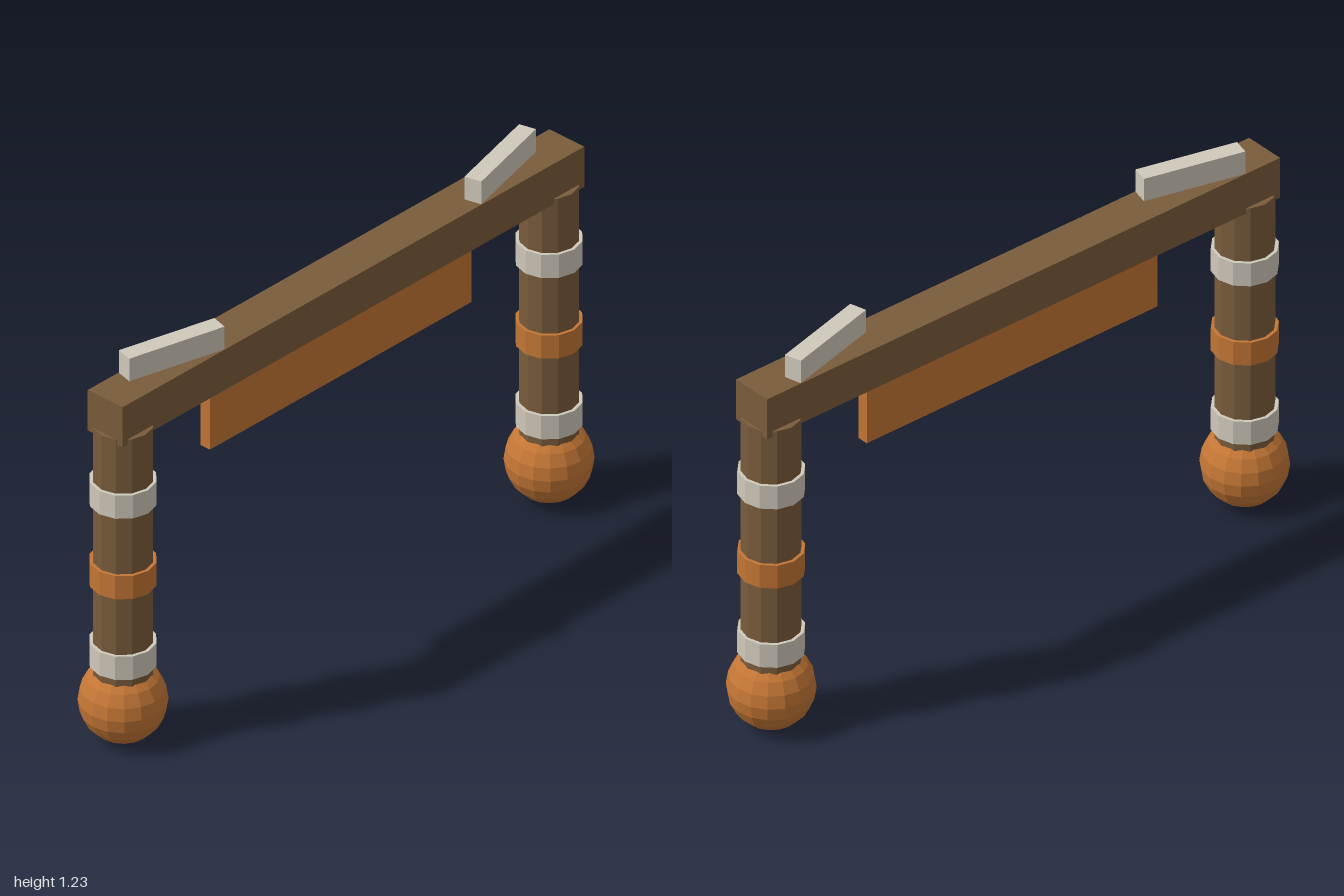
import * as THREE from 'three';

const flat = (name, color) => {
  const m = new THREE.MeshStandardMaterial({ color });
  m.name = name;
  m.flatShading = true;
  return m;
};

export function createModel() {
  const wood = flat('wood', 0x7a5c3c);
  const copper = flat('copper', 0xc47635);
  const stone = flat('paleStone', 0xd0c9bb);
  const model = new THREE.Group();
  model.name = 'gateway';

  const add = (parent, name, geometry, material, x, y, z) => {
    const mesh = new THREE.Mesh(geometry, material);
    mesh.name = name;
    mesh.position.set(x, y, z);
    parent.add(mesh);
    return mesh;
  };
  const ring = (radius, y0, y1) =>
    new THREE.CylinderGeometry(radius, radius, y1 - y0, 12).translate(0, (y0 + y1) / 2, 0);

  // Crossbeam with the hanging panel below it
  add(model, 'crossbeam', new THREE.BoxGeometry(0.134, 0.134, 1.89), wood, 0, 1.089, 0);
  add(model, 'hangingPanel', new THREE.BoxGeometry(0.035, 0.22, 1.07), copper, 0, 0.917, 0);

  // Both ends mirror each other along z
  for (const side of [1, -1]) {
    const end = side > 0 ? 'front' : 'back';
    const post = new THREE.Group();
    post.name = end + 'Post';
    post.position.z = side * 0.872;
    model.add(post);

    add(post, 'ballFoot', new THREE.SphereGeometry(0.128, 16, 10), copper, 0, 0.13, 0);
    add(post, 'postShaft', ring(0.087, 0.18, 1.04), wood, 0, 0, 0);
    add(post, 'lowerBand', ring(0.097, 0.25, 0.327), stone, 0, 0, 0);
    add(post, 'middleBand', ring(0.097, 0.517, 0.594), copper, 0, 0, 0);
    add(post, 'upperBand', ring(0.097, 0.784, 0.861), stone, 0, 0, 0);

    // Slanted block lying on top of the beam
    const block = add(model, end + 'TopBlock', new THREE.BoxGeometry(0.054, 0.09, 0.317), stone,
      0, 1.186, side * 0.672);
    block.rotation.y = -side * 0.25;
  }
  return model;
}
